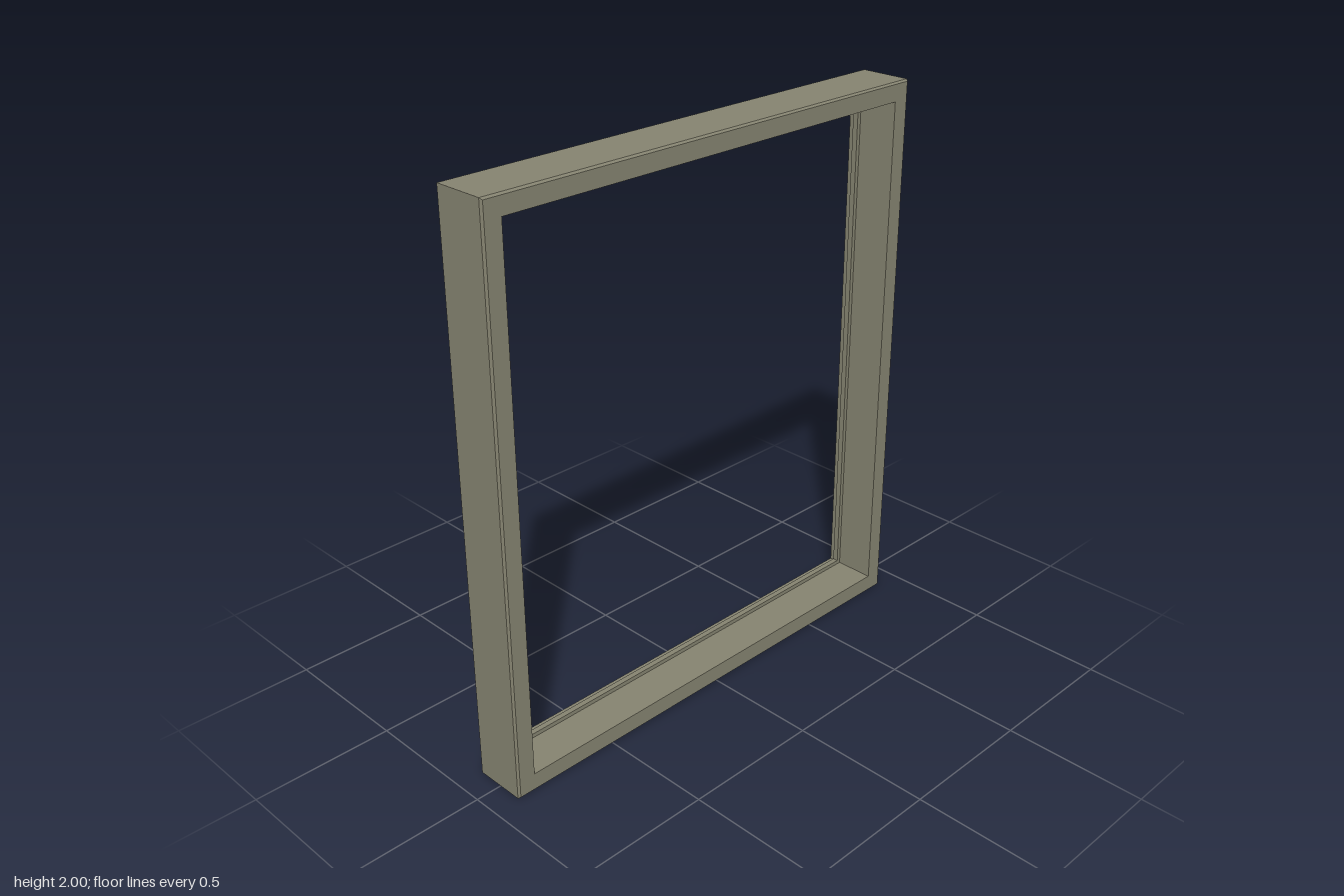
import * as THREE from 'three';

const HALF_W = 0.905, HEIGHT = 2, BACK = -0.096, FRONT = 0.096;

// Cross-section of a frame member: [inset from the outer edge, z], from outer back round to inner back
const PROFILE = [
  [0, BACK], [0, FRONT - 0.008], [0.006, FRONT], // outer face and front chamfer
  [0.066, FRONT], [0.066, -0.05],                // front face and front reveal
  [0.081, -0.05], [0.081, -0.07],                // glazing lip
  [0.066, -0.07], [0.066, BACK],                 // back rebate
];

// Corners run anticlockwise seen from the front; the second pair points inwards
const CORNERS = [[-1, 0, 1, 1], [1, 0, -1, 1], [1, 1, -1, -1], [-1, 1, 1, -1]];

const place = ([sx, sy, ix, iy], [d, z]) =>
  [sx * HALF_W + ix * d, sy * HEIGHT + iy * d, z];

// One mitred member between two corners
function memberGeometry(from, to) {
  const positions = [];
  PROFILE.forEach((p, i) => {
    const q = PROFILE[(i + 1) % PROFILE.length];
    const a = place(from, p), b = place(to, p), c = place(to, q), d = place(from, q);
    positions.push(...a, ...b, ...c, ...a, ...c, ...d);
  });
  const geometry = new THREE.BufferGeometry();
  geometry.setAttribute('position', new THREE.Float32BufferAttribute(positions, 3));
  geometry.computeVertexNormals();
  return geometry;
}

export function createModel() {
  const group = new THREE.Group();
  group.name = 'windowFrame';
  const material = new THREE.MeshStandardMaterial({ color: 0x858370 });
  ['sill', 'leftJamb', 'head', 'rightJamb'].forEach((name, i) => {
    const member = new THREE.Mesh(memberGeometry(CORNERS[i], CORNERS[(i + 1) % 4]), material);
    member.name = name;
    group.add(member);
  });
  return group;
}
